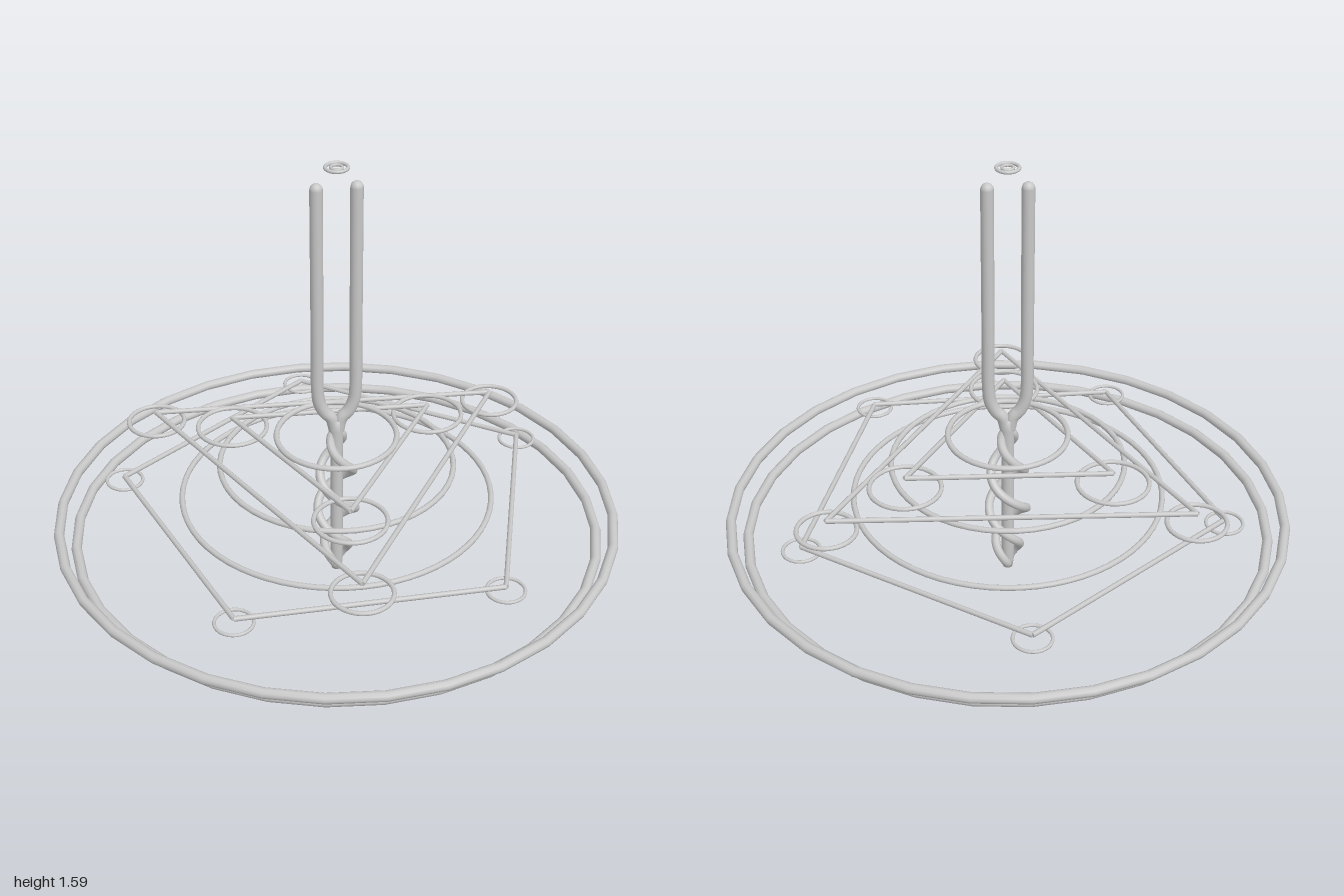
import * as THREE from 'three';

export function createModel() {
  const model = new THREE.Group();
  const metal = new THREE.MeshStandardMaterial({ color: 0xc8c8c8 });
  metal.name = 'grey metal';

  const add = (name, geometry, x = 0, y = 0, z = 0) => {
    const mesh = new THREE.Mesh(geometry, metal);
    mesh.name = name;
    mesh.position.set(x, y, z);
    model.add(mesh);
    return mesh;
  };
  const ring = (name, radius, tube, y, x = 0, z = 0, sides = 48) =>
    add(name, new THREE.TorusGeometry(radius, tube, 10, sides).rotateX(Math.PI / 2), x, y, z);
  const rod = (name, a, b, radius) => {
    const dir = b.clone().sub(a);
    const mesh = add(name, new THREE.CylinderGeometry(radius, radius, dir.length(), 8));
    mesh.position.copy(a).add(b).multiplyScalar(0.5);
    mesh.quaternion.setFromUnitVectors(new THREE.Vector3(0, 1, 0), dir.normalize());
  };

  // Large outer rings
  ring('upperOuterRing', 0.982, 0.018, 0.257, 0, 0, 32);
  ring('lowerOuterRing', 0.926, 0.018, 0.193, 0, 0, 32);

  // Inner rings
  ring('wideInnerRing', 0.546, 0.01, 0.338, 0, 0, 64);
  ring('middleInnerRing', 0.409, 0.01, 0.466);
  ring('smallInnerRing', 0.209, 0.01, 0.577);

  // Rod polygons with a small ring under each corner: [x, z] corners
  const figures = [
    { name: 'innerTriangle', y: 0.543, ringY: 0.505, r: 0.123, tube: 0.008,
      corners: [[-0.342, -0.217], [0.363, -0.19], [-0.018, 0.404]] },
    { name: 'outerTriangle', y: 0.484, ringY: 0.447, r: 0.101, tube: 0.008,
      corners: [[-0.604, -0.386], [0.63, -0.33], [-0.032, 0.709]] },
    { name: 'pentagon', y: 0.328, ringY: 0.314, r: 0.064, tube: 0.006,
      corners: [[-0.018, -0.77], [0.723, -0.26], [0.465, 0.609], [-0.434, 0.628], [-0.737, -0.222]] },
  ];
  for (const f of figures) {
    f.corners.forEach(([x, z], i) => {
      const [nx, nz] = f.corners[(i + 1) % f.corners.length];
      rod(f.name + 'Rod', new THREE.Vector3(x, f.y, z), new THREE.Vector3(nx, f.y, nz), 0.009);
      ring(f.name + 'CornerRing', f.r, f.tube, f.ringY, x, z, 32);
    });
  }

  // Fork: two mirrored prongs with rounded tips, merging at the stem
  const prong = [[0.066, 1.514], [0.066, 1.2], [0.066, 0.9], [0.066, 0.77], [0.06, 0.715], [0.042, 0.674], [0.018, 0.647], [0.006, 0.6]];
  for (const s of [-1, 1]) {
    const path = new THREE.CatmullRomCurve3(prong.map(([x, y]) => new THREE.Vector3(s * x, y, 0)));
    add('forkProng', new THREE.TubeGeometry(path, 80, 0.022, 12));
    add('prongTip', new THREE.SphereGeometry(0.022, 12, 8), s * 0.066, 1.514, 0);
  }

  // Central stem
  const stem = [[0, 0], [0.018, 0], [0.022, 0.03], [0.023, 0.1], [0.022, 0.5], [0.024, 0.6], [0.022, 0.64], [0, 0.645]];
  add('stem', new THREE.LatheGeometry(stem.map(([r, y]) => new THREE.Vector2(r, y)), 16));

  // Two strands twisting around the stem, tapering in at both ends
  for (const phase of [0, Math.PI]) {
    const pts = [];
    for (let i = 0; i <= 48; i++) {
      const t = i / 48;
      const y = 0.015 + t * 0.575;
      const a = phase + (2 * Math.PI * (y - 0.255)) / 0.33;
      const r = 0.01 + 0.058 * Math.pow(Math.max(0, Math.sin(Math.PI * t)), 0.7);
      pts.push(new THREE.Vector3(Math.cos(a) * r, y, Math.sin(a) * r));
    }
    add('twistedStrand', new THREE.TubeGeometry(new THREE.CatmullRomCurve3(pts), 96, 0.016, 10));
  }

  // Halo floating above the prongs
  ring('haloOuterRing', 0.037, 0.006, 1.587, 0, 0, 24);
  ring('haloInnerRing', 0.019, 0.005, 1.587, 0, 0, 20);

  return model;
}
